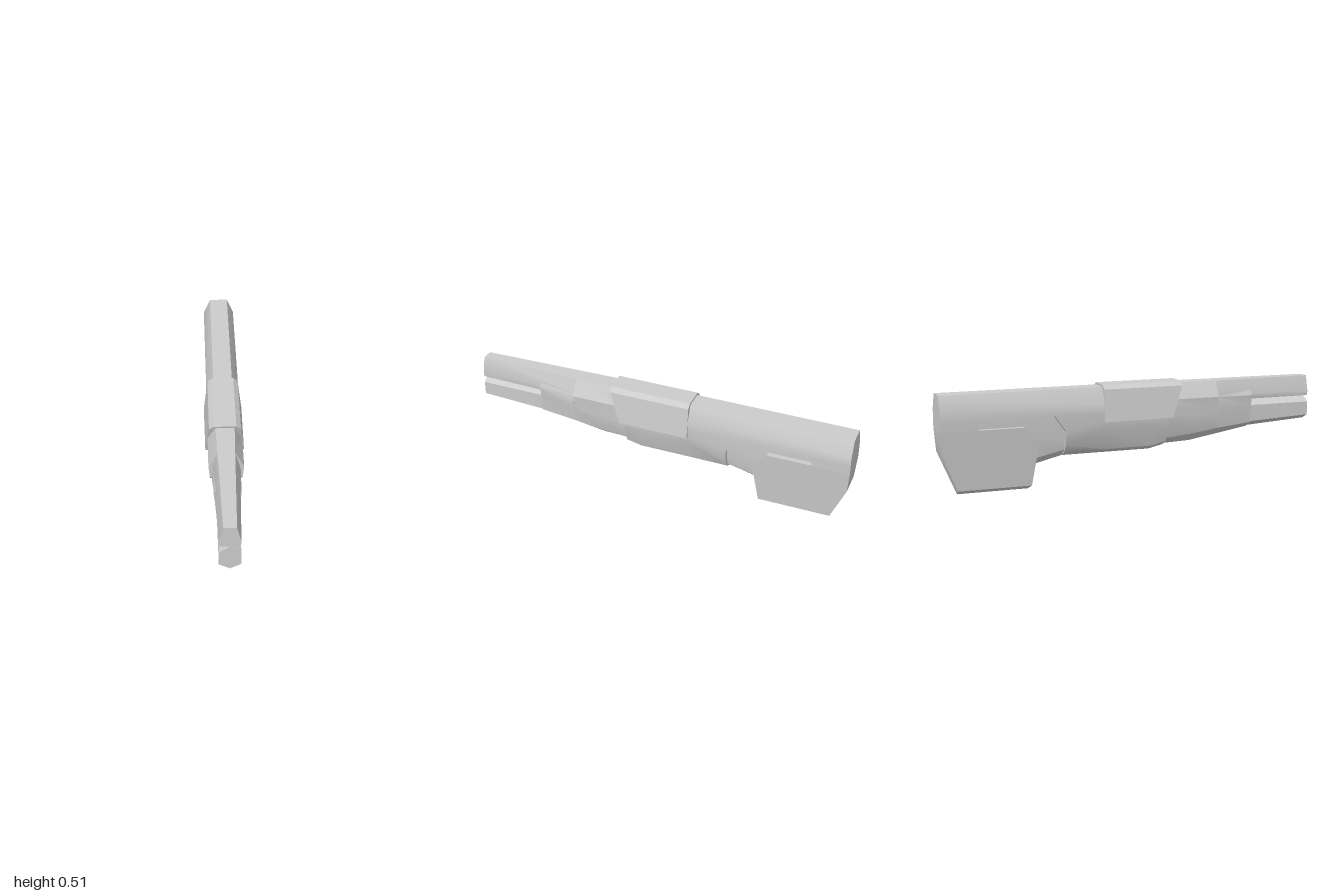
import * as THREE from 'three';
import { toCreasedNormals } from 'three/addons/utils/BufferGeometryUtils.js';

const material = new THREE.MeshStandardMaterial({ color: 0xcccccc });

// Skins mirrored half profiles, listed front to back. Each section is [z, points];
// points run top to bottom as [x, y] or [x, y, own z].
function loft(name, sections, crease = 0.5) {
  const pos = [];
  const [a, b, c] = [0, 1, 2].map(() => new THREE.Vector3());
  const tri = (p, q, r) => {
    a.set(...p); b.set(...q); c.set(...r);
    if (b.sub(a).cross(c.sub(a)).length() > 1e-9) pos.push(...p, ...q, ...r);
  };
  const quad = (p, q, r, s) => { tri(p, q, r); tri(p, r, s); };
  const halves = sections.map(([z, pts]) => pts.map(([x, y, own = z]) => [x, y, own]));
  const mirror = ([x, y, z]) => [-x, y, z];
  const rings = halves.map(h => [...h, ...h.map(mirror).reverse()]);

  for (let s = 0; s < rings.length - 1; s++) {
    const f = rings[s], r = rings[s + 1], n = f.length;
    for (let i = 0; i < n; i++) {
      const j = (i + 1) % n;
      quad(f[i], f[j], r[j], r[i]);
    }
  }
  // End caps, as strips from side to side
  const first = halves[0], last = halves[halves.length - 1];
  for (let i = 0; i < first.length - 1; i++) {
    quad(first[i], mirror(first[i]), mirror(first[i + 1]), first[i + 1]);
    quad(last[i], last[i + 1], mirror(last[i + 1]), mirror(last[i]));
  }
  const geo = new THREE.BufferGeometry();
  geo.setAttribute('position', new THREE.Float32BufferAttribute(pos, 3));
  const mesh = new THREE.Mesh(toCreasedNormals(geo, crease), material);
  mesh.name = name;
  return mesh;
}

export function createModel() {
  const group = new THREE.Group();
  group.name = 'rifle';
  group.add(
    // Tapered twin barrels
    loft('upperBarrel', [
      [1, [[0.03, 0.5], [0.05, 0.42], [0.048, 0.395]]],
      [0.45, [[0.042, 0.5], [0.066, 0.42], [0.06, 0.395]]],
    ]),
    loft('lowerBarrel', [
      [1, [[0, 0.395], [0.05, 0.36], [0.05, 0.29], [0, 0.265]]],
      [0.62, [[0, 0.395], [0.052, 0.36], [0.05, 0.272], [0, 0.242]]],
    ]),
    // Hand guard: raised hook in front, low tail behind
    loft('guardHook', [
      [0.66, [[0.05, 0.45], [0.065, 0.415], [0.058, 0.36], [0.05, 0.27], [0, 0.24]]],
      [0.468, [[0.052, 0.45], [0.068, 0.415], [0.068, 0.345], [0.052, 0.25], [0, 0.209]]],
    ]),
    loft('guardTail', [
      [0.468, [[0.068, 0.36], [0.068, 0.345], [0.052, 0.25], [0, 0.209]]],
      [0.33, [[0.074, 0.36], [0.075, 0.32], [0.05, 0.23], [0, 0.186]]],
      [0.17, [[0.074, 0.36], [0.076, 0.31], [0.047, 0.215], [0, 0.18]]],
    ]),
    // Upper body, front and rear lengths
    loft('upperBodyFront', [
      [0.46, [[0.042, 0.5], [0.085, 0.42], [0.079, 0.36], [0.077, 0.33, 0.43]]],
      [0.2, [[0.048, 0.5], [0.085, 0.42], [0.08, 0.36], [0.078, 0.33]]],
      [-0.16, [[0.048, 0.5], [0.083, 0.42], [0.081, 0.36], [0.08, 0.33]]],
    ]),
    loft('upperBodyRear', [
      [-0.16, [[0.048, 0.5], [0.083, 0.42], [0.083, 0.375]]],
      [-1, [[0.048, 0.5], [0.083, 0.42], [0.083, 0.375]]],
    ]),
    // Lower receiver with a keel
    loft('lowerReceiver', [
      [0.18, [[0.08, 0.375], [0.079, 0.33], [0.077, 0.3], [0.046, 0.2], [0, 0.175]]],
      [0.1, [[0.082, 0.375], [0.08, 0.33], [0.077, 0.29], [0.043, 0.18], [0, 0.157]]],
      [-0.17, [[0.083, 0.375], [0.08, 0.33], [0.075, 0.29], [0.043, 0.18], [0, 0.157]]],
      [-0.37, [[0.083, 0.375, -0.43], [0.082, 0.29], [0.071, 0.22], [0.044, 0.18], [0, 0.157]]],
    ]),
    // Flared cover over the receiver
    loft('receiverCover', [
      [0.26, [[0.055, 0.51], [0.078, 0.49, 0.254], [0.087, 0.42, 0.23], [0.096, 0.328, 0.2]]],
      [-0.168, [[0.055, 0.51], [0.078, 0.49], [0.086, 0.42], [0.098, 0.328]]],
    ]),
    // Recessed neck seen through the slot
    loft('neck', [
      [-0.36, [[0.055, 0.39], [0.055, 0.25], [0.042, 0.195], [0, 0.16]]],
      [-0.54, [[0.055, 0.39], [0.055, 0.25], [0.042, 0.155], [0, 0.117]]],
      [-0.82, [[0.055, 0.39], [0.055, 0.25], [0.042, 0.155], [0, 0.117]]],
    ]),
    // Stock and its link to the upper body
    loft('stockLink', [
      [-0.81, [[0.083, 0.375], [0.081, 0.325]]],
      [-1, [[0.083, 0.375], [0.081, 0.325]]],
    ]),
    loft('stock', [
      [-0.55, [[0.081, 0.325, -0.582], [0.07, 0.21, -0.512], [0.052, 0.025, -0.542], [0, 0]]],
      [-0.91, [[0.081, 0.325, -1], [0.07, 0.21, -0.992], [0.052, 0.025, -0.915], [0, 0]]],
    ]),
  );
  return group;
}
